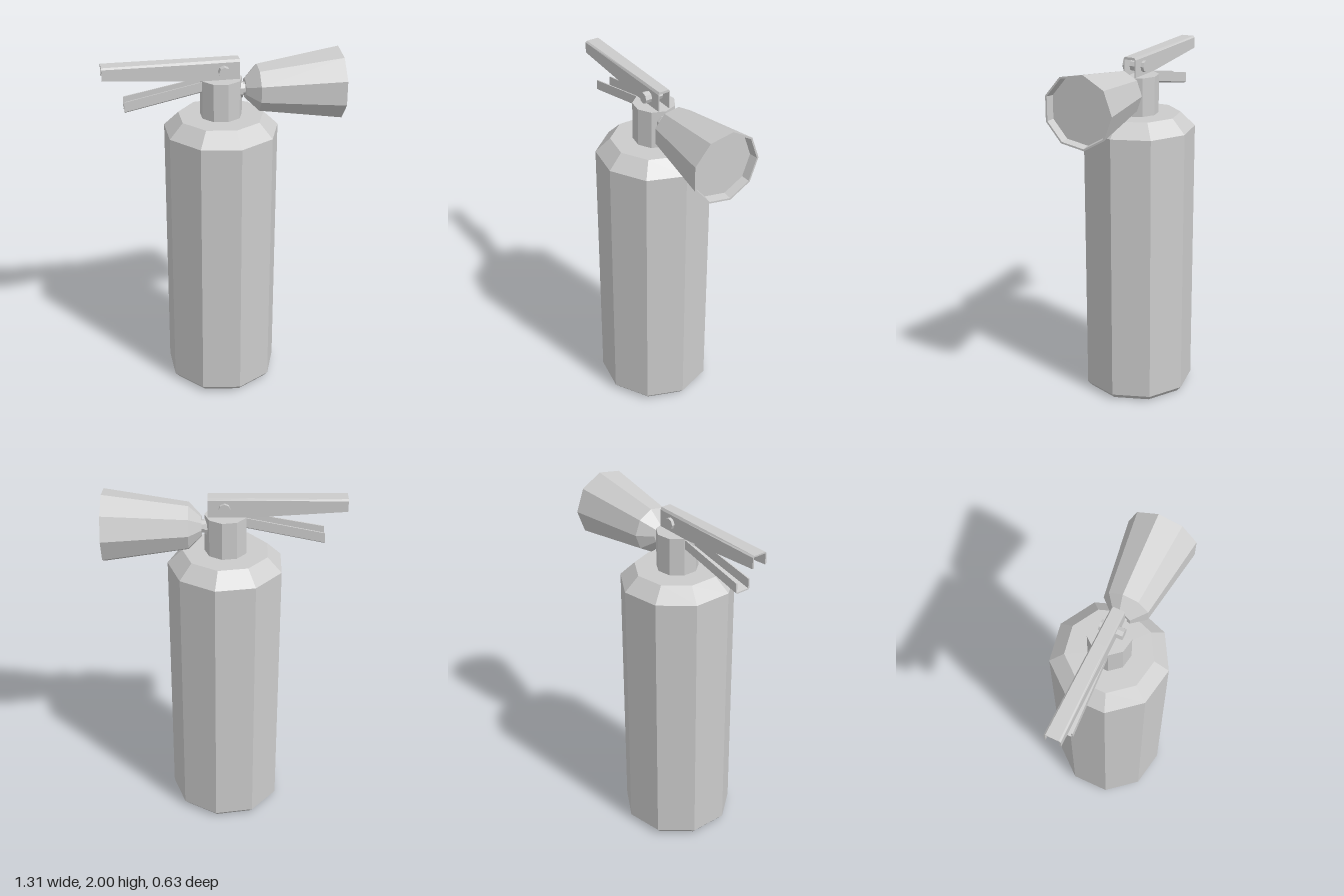
import * as THREE from 'three';

const material = new THREE.MeshStandardMaterial({ color: 0xcccccc, flatShading: true });

function part(name, geometry) {
  const flat = geometry.index ? geometry.toNonIndexed() : geometry;
  flat.computeVertexNormals();
  const mesh = new THREE.Mesh(flat, material);
  mesh.name = name;
  return mesh;
}

// Faceted turned part from [radius, height] pairs
function turned(name, profile, sides, phiStart) {
  const points = profile.map(([r, y]) => new THREE.Vector2(r, y));
  return part(name, new THREE.LatheGeometry(points, sides, phiStart));
}

// Folded sheet channel along x; stations run right to left as [x, ridgeY, edgeY, halfWidth]
function channel(name, stations) {
  const wall = 0.82, roof = 0.88;
  const outline = [
    [-1, 0], [-wall, 0], [-wall, roof], [wall, roof], [wall, 0], [1, 0],
    [1, 0.88], [0.8, 1], [-0.8, 1], [-1, 0.88],
  ].map(([u, v]) => new THREE.Vector2(u, v));
  const steps = stations.length - 1;
  const geometry = new THREE.ExtrudeGeometry(new THREE.Shape(outline), { depth: 1, steps, bevelEnabled: false });
  const p = geometry.attributes.position;
  for (let i = 0; i < p.count; i++) {
    const [x, ridge, edge, w] = stations[Math.round(p.getZ(i) * steps)];
    const side = Math.sign(ridge - edge);
    p.setXYZ(i, x, edge + (ridge - edge) * p.getY(i), p.getX(i) * w * side);
  }
  return part(name, geometry);
}

export function createModel() {
  const model = new THREE.Group();
  model.name = 'fireExtinguisher';

  // Tank with chamfered foot and shoulder
  const tank = turned('tank', [
    [0, 0], [0.295, 0], [0.322, 0.03], [0.322, 1.58], [0.24, 1.66], [0, 1.66],
  ], 9, Math.PI / 2);
  tank.position.x = -0.008;

  // Valve neck
  const neck = turned('valveNeck', [[0, 1.655], [0.117, 1.655], [0.117, 1.875], [0, 1.875]], 9, Math.PI / 2);
  neck.position.x = -0.008;

  // Nozzle: collar, stem and flared horn with a recessed mouth
  const nozzle = new THREE.Group();
  nozzle.name = 'nozzle';
  nozzle.add(
    turned('collar', [[0, 0.06], [0.05, 0.06], [0.05, 0.108], [0, 0.108]], 9, Math.PI),
    turned('stem', [[0.037, 0.1], [0.037, 0.13]], 9, Math.PI),
    turned('horn', [
      [0, 0.123], [0.056, 0.123], [0.13, 0.193], [0.2, 0.653],
      [0.19, 0.653], [0.183, 0.605], [0, 0.605],
    ], 9, Math.PI),
  );
  nozzle.rotation.z = -Math.PI / 2;
  nozzle.position.y = 1.805;

  // Squeeze handle opens downward, carry lever opens upward
  const handle = channel('squeezeHandle', [
    [0.09, 1.985, 1.872, 0.037], [-0.12, 1.985, 1.874, 0.039], [-0.655, 1.985, 1.915, 0.046],
  ]);
  const lever = channel('carryLever', [
    [-0.1, 1.813, 1.873, 0.037], [-0.54, 1.725, 1.787, 0.046],
  ]);

  // Pivot pin through the handle
  const pin = part('pivotPin', new THREE.CylinderGeometry(0.032, 0.032, 0.13, 8));
  pin.rotation.x = Math.PI / 2;
  pin.position.set(0, 1.925, 0.01);

  model.add(tank, neck, nozzle, handle, lever, pin);
  return model;
}
